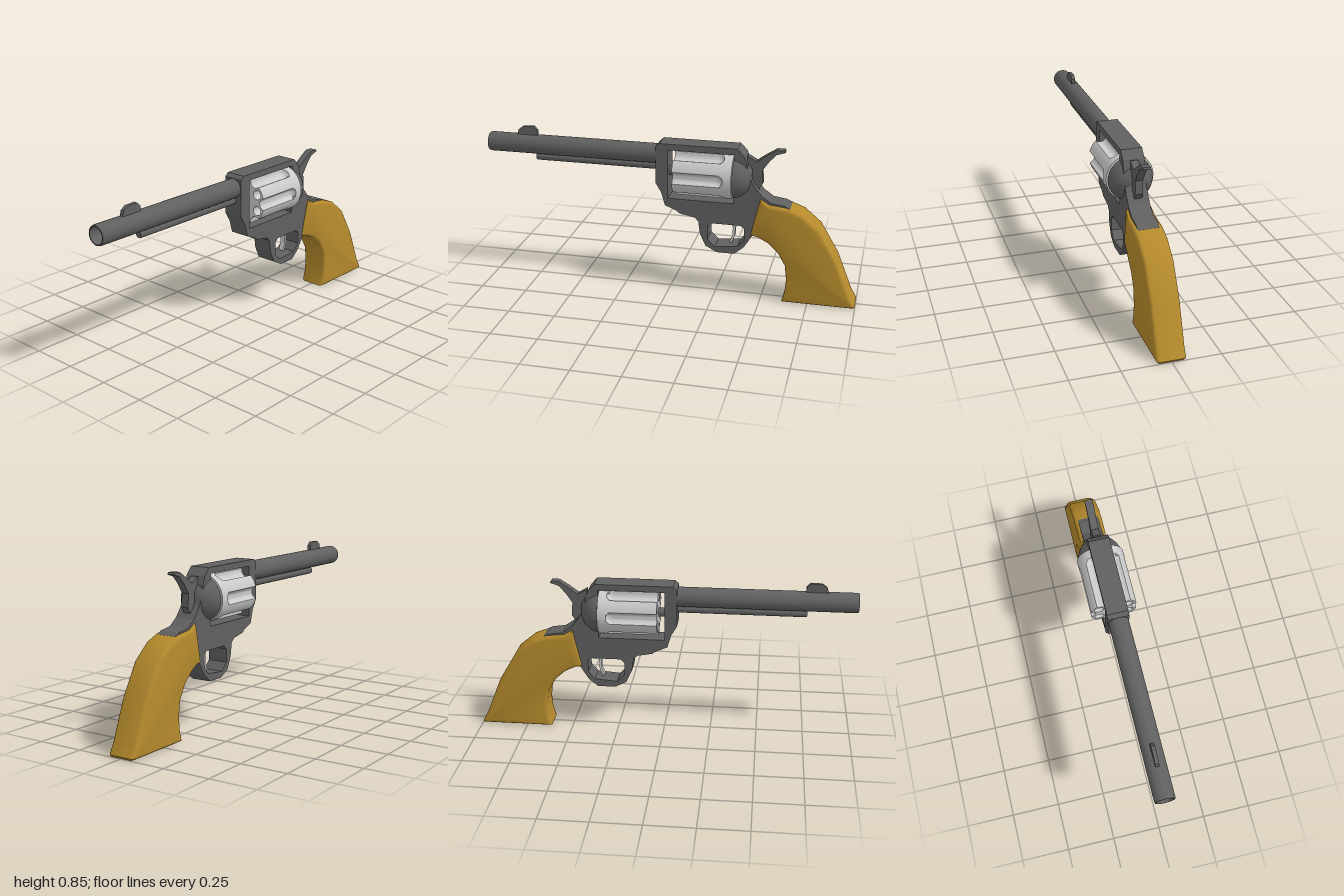
import * as THREE from 'three';
import { toCreasedNormals } from 'three/addons/utils/BufferGeometryUtils.js';

const steel = new THREE.MeshStandardMaterial({ color: 0x606060 });
const light = new THREE.MeshStandardMaterial({ color: 0xcccccc });
const wood = new THREE.MeshStandardMaterial({ color: 0xb58a2c });

const toShape = (pts) => new THREE.Shape(pts.map(([a, b]) => new THREE.Vector2(a, b)));

// Side profile in (z, y), extruded across x and centred on it
function slab(pts, halfWidth, holes = [], bevel = 0) {
  const shape = toShape(pts);
  holes.forEach((h) => shape.holes.push(toShape(h)));
  const depth = 2 * (halfWidth - bevel);
  const geo = new THREE.ExtrudeGeometry(shape, {
    depth, bevelEnabled: bevel > 0, bevelSize: bevel, bevelThickness: bevel,
    bevelOffset: -bevel, bevelSegments: 3,
  });
  return geo.translate(0, 0, -depth / 2).rotateY(-Math.PI / 2);
}

// Turned part along z from (radius, z) pairs
function turned(pts, y, segments = 32) {
  const geo = new THREE.LatheGeometry(pts.map(([r, z]) => new THREE.Vector2(r, z)), segments);
  return toCreasedNormals(geo.rotateX(Math.PI / 2).translate(0, y, 0), 0.6);
}

// Outline of the drum, with six scallops of radius f
const R = 0.123, C = 0.125, N = 144;
function drumRing(f) {
  return Array.from({ length: N }, (_, i) => {
    const a = (i / N) * Math.PI * 2;
    const d = a - Math.round(a / (Math.PI / 3)) * (Math.PI / 3);
    const k = f * f - (C * Math.sin(d)) ** 2;
    const r = k > 0 ? Math.min(R, C * Math.cos(d) - Math.sqrt(k)) : R;
    return [r * Math.cos(a), r * Math.sin(a)];
  });
}

// Rear of the drum, where the scallops round off
function drumTail(z0, z1, f) {
  const pos = [], index = [], steps = 8;
  for (let i = 0; i <= steps + 1; i++) {
    const t = Math.min(i / steps, 1);
    const z = i > steps ? z1 : z0 - f * Math.sin(t * Math.PI / 2);
    drumRing(f * Math.cos(t * Math.PI / 2)).forEach(([x, y]) => pos.push(x, y, z));
  }
  for (let i = 0; i <= steps; i++) {
    for (let j = 0; j < N; j++) {
      const a = i * N + j, b = i * N + (j + 1) % N;
      index.push(a, a + N, b, b, a + N, b + N);
    }
  }
  const geo = new THREE.BufferGeometry();
  geo.setAttribute('position', new THREE.Float32BufferAttribute(pos, 3));
  geo.setIndex(index);
  return toCreasedNormals(geo, 0.5);
}

export function createModel() {
  const model = new THREE.Group();
  const add = (name, geo, mat, parent = model) => {
    const mesh = new THREE.Mesh(geo, mat);
    mesh.name = name;
    parent.add(mesh);
    return mesh;
  };

  // Frame with drum window and trigger guard opening
  add('frame', slab([
    [0.07, 0.81], [0.07, 0.61], [0.04, 0.56], [0.02, 0.49], [-0.04, 0.465], [-0.06, 0.45],
    [-0.14, 0.435], [-0.16, 0.415], [-0.17, 0.345], [-0.2, 0.28], [-0.26, 0.248],
    [-0.355, 0.248], [-0.405, 0.29], [-0.445, 0.355], [-0.47, 0.38], [-0.6, 0.45],
    [-0.64, 0.525], [-0.61, 0.54], [-0.54, 0.55], [-0.49, 0.585], [-0.45, 0.635],
    [-0.42, 0.69], [-0.41, 0.75], [-0.395, 0.79], [-0.36, 0.828], [0.05, 0.828],
  ], 0.055, [
    [[0.005, 0.53], [0.005, 0.795], [-0.345, 0.795], [-0.345, 0.53]],
    [[-0.21, 0.39], [-0.23, 0.41], [-0.385, 0.41], [-0.405, 0.395], [-0.405, 0.33],
      [-0.37, 0.29], [-0.25, 0.28], [-0.21, 0.32]],
  ]), steel);

  // Domed shield behind the drum
  add('recoilShield', turned([
    [0, -0.437], [0.05, -0.435], [0.08, -0.415], [0.102, -0.385], [0.113, -0.36],
    [0.115, -0.342], [0, -0.342],
  ], 0.665), steel);

  // Hollow barrel, rod housing and sight
  add('barrel', turned([
    [0.052, 0.05], [0.052, 0.99], [0.049, 1], [0.043, 1], [0.043, 0.7], [0, 0.7],
  ], 0.757), steel);
  add('ejectorRod', turned([[0.02, 0.05], [0.02, 0.735], [0.017, 0.74], [0, 0.74]], 0.69, 20), steel);
  add('frontSight', slab([
    [0.845, 0.8], [0.73, 0.8], [0.73, 0.835], [0.75, 0.855], [0.81, 0.853], [0.835, 0.835],
  ], 0.01), steel);

  // Hammer and trigger
  add('hammer', slab([
    [-0.405, 0.785], [-0.42, 0.62], [-0.465, 0.6], [-0.49, 0.64], [-0.485, 0.71],
    [-0.52, 0.762], [-0.555, 0.8], [-0.6, 0.815], [-0.595, 0.825], [-0.555, 0.825],
    [-0.5, 0.79], [-0.455, 0.757],
  ], 0.02), steel);
  add('trigger', slab([
    [-0.325, 0.42], [-0.338, 0.38], [-0.338, 0.34], [-0.322, 0.297], [-0.335, 0.292],
    [-0.35, 0.335], [-0.352, 0.38], [-0.345, 0.42],
  ], 0.014), light);

  // Fluted drum with six open chambers
  const drum = new THREE.Group();
  drum.name = 'drum';
  drum.position.y = 0.667;
  model.add(drum);
  const front = -0.03, mid = -0.265, back = -0.34, flute = 0.03;
  const face = toShape(drumRing(flute));
  for (let i = 0; i < 6; i++) {
    const a = (i + 0.5) * Math.PI / 3;
    const hole = new THREE.Path();
    hole.absarc(0.088 * Math.cos(a), 0.088 * Math.sin(a), 0.025, 0, Math.PI * 2, true);
    face.holes.push(hole);
  }
  const body = new THREE.ExtrudeGeometry(face, { depth: front - mid, bevelEnabled: false, curveSegments: 20 });
  add('drumBody', toCreasedNormals(body.translate(0, 0, mid), 0.5), light, drum);
  add('drumTail', drumTail(mid, back, flute), light, drum);
  add('chamberFloor', new THREE.ShapeGeometry(toShape(drumRing(flute))).translate(0, 0, mid), light, drum);
  add('drumBack', new THREE.CircleGeometry(R, 48).rotateY(Math.PI).translate(0, 0, back), light, drum);
  add('drumPin', turned([[0.024, -0.05], [0.024, 0.02], [0, 0.02]], 0, 20), steel, drum);

  // Grip with rounded edges, narrowing toward the frame
  const grip = slab([
    [-0.485, 0.57], [-0.435, 0.36], [-0.475, 0.355], [-0.53, 0.33], [-0.585, 0.28],
    [-0.625, 0.21], [-0.635, 0.13], [-0.63, 0.06], [-0.615, 0.002], [-0.995, 0.002],
    [-1, 0.012], [-0.97, 0.065], [-0.89, 0.265], [-0.795, 0.425], [-0.705, 0.5],
    [-0.625, 0.53], [-0.53, 0.54],
  ], 0.075, [], 0.018);
  const p = grip.attributes.position;
  for (let i = 0; i < p.count; i++) {
    const t = THREE.MathUtils.clamp((p.getZ(i) + 0.54) / 0.1, 0, 1);
    p.setX(i, p.getX(i) * (1 - 0.18 * t));
    p.setY(i, Math.max(0, p.getY(i)));
  }
  add('grip', toCreasedNormals(grip, 0.6), wood);

  return model;
}
